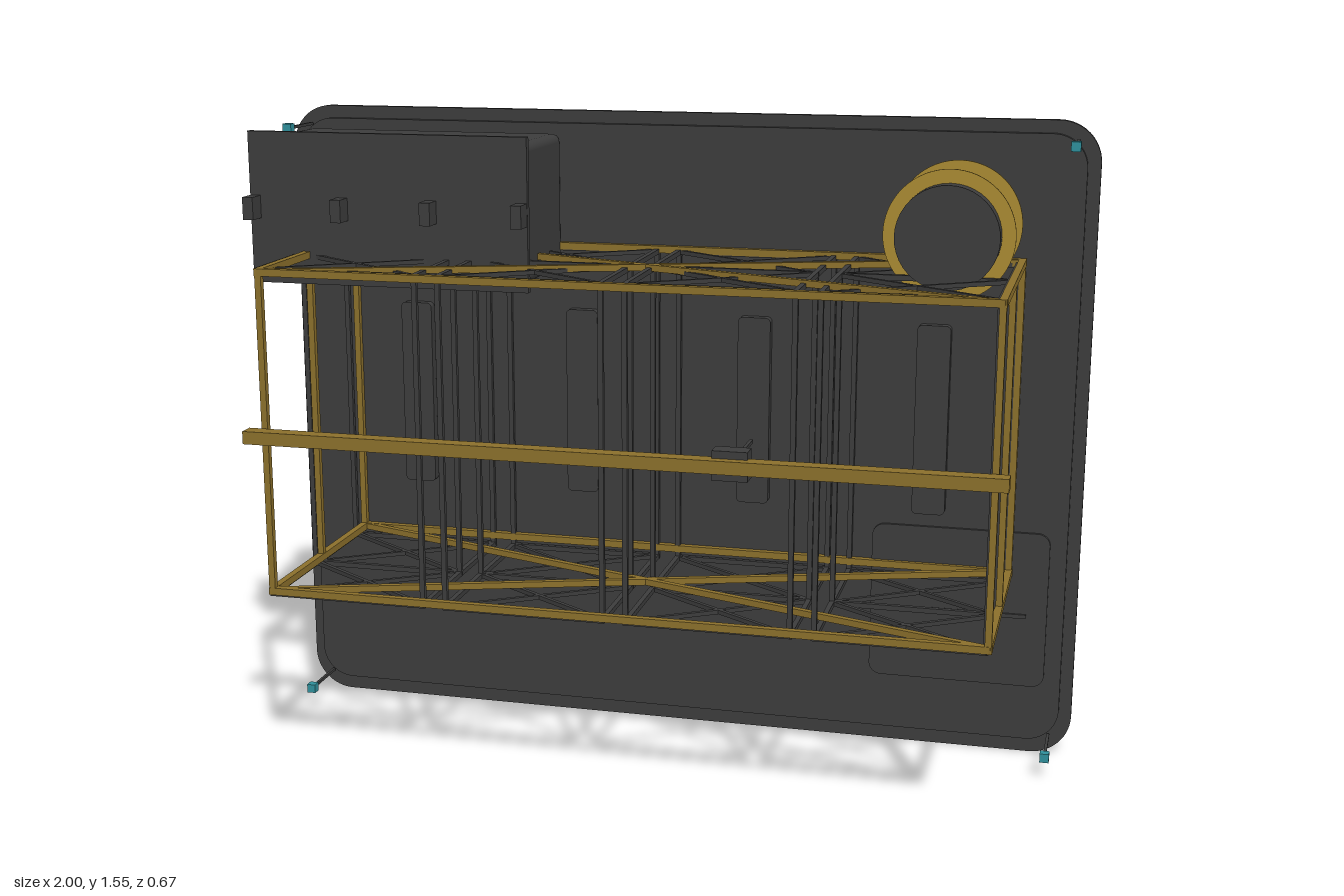
import * as THREE from 'three';
import { RoundedBoxGeometry } from 'three/addons/geometries/RoundedBoxGeometry.js';

export function createModel() {
  const root = new THREE.Group();
  root.name = 'wallMachine';
  const mat = (name, color) => {
    const m = new THREE.MeshStandardMaterial({ color });
    m.name = name;
    return m;
  };
  const charcoal = mat('charcoal', 0x3c3c3c);
  const brass = mat('brass', 0x8a6f2b);
  const gold = mat('gold', 0xa98a32);
  const teal = mat('teal', 0x2f8f9a);

  const add = (name, geo, material, x = 0, y = 0, z = 0, parent = root) => {
    const mesh = new THREE.Mesh(geo, material);
    mesh.name = name;
    mesh.position.set(x, y, z);
    parent.add(mesh);
    return mesh;
  };
  // Box given by its limits on each axis
  const block = (name, material, x0, x1, y0, y1, z0, z1, parent) =>
    add(name, new THREE.BoxGeometry(x1 - x0, y1 - y0, z1 - z0), material,
      (x0 + x1) / 2, (y0 + y1) / 2, (z0 + z1) / 2, parent);
  // Square bar between two points
  const bar = (name, material, a, b, t, parent) => {
    const p = new THREE.Vector3(...a), q = new THREE.Vector3(...b);
    const mesh = add(name, new THREE.BoxGeometry(t, t, p.distanceTo(q) + t), material, 0, 0, 0, parent);
    mesh.position.copy(p).add(q).multiplyScalar(0.5);
    mesh.lookAt(q);
    return mesh;
  };
  // Rounded plate facing +z
  const plate = (name, x0, x1, y0, y1, z0, z1, r) => {
    const s = new THREE.Shape();
    s.moveTo(x0 + r, y0);
    s.lineTo(x1 - r, y0); s.absarc(x1 - r, y0 + r, r, -Math.PI / 2, 0);
    s.lineTo(x1, y1 - r); s.absarc(x1 - r, y1 - r, r, 0, Math.PI / 2);
    s.lineTo(x0 + r, y1); s.absarc(x0 + r, y1 - r, r, Math.PI / 2, Math.PI);
    s.lineTo(x0, y0 + r); s.absarc(x0 + r, y0 + r, r, Math.PI, Math.PI * 1.5);
    const geo = new THREE.ExtrudeGeometry(s, { depth: z1 - z0, bevelEnabled: false, curveSegments: 10 });
    return add(name, geo, charcoal, 0, 0, z0);
  };

  // Back panel in two steps, with a low access cover
  plate('backPanel', -1, 1, 0, 1.555, -0.335, -0.315, 0.1);
  plate('innerPanel', -0.97, 0.97, 0.04, 1.525, -0.316, -0.296, 0.08);
  plate('accessCover', 0.5, 0.93, 0.18, 0.57, -0.297, -0.288, 0.03);
  block('coverHandle', charcoal, 0.64, 0.88, 0.355, 0.365, -0.289, -0.282);

  // Corner pins
  for (const x of [-0.947, 0.947]) for (const y of [0.052, 1.51]) {
    const pin = new THREE.Group();
    pin.name = 'cornerPin';
    root.add(pin);
    bar('pinRod', charcoal, [x, y, -0.3], [x, y, -0.17], 0.007, pin);
    block('pinTip', teal, x - 0.011, x + 0.011, y - 0.011, y + 0.011, -0.172, -0.15, pin);
  }

  // Control box with front flange and knobs
  add('controlBox', new RoundedBoxGeometry(0.66, 0.33, 0.295, 3, 0.02), charcoal, -0.62, 1.335, -0.15);
  block('boxFoot', charcoal, -0.88, -0.36, 1.16, 1.175, -0.265, -0.1);
  block('boxFlange', charcoal, -0.973, -0.28, 1.157, 1.518, 0, 0.016);
  for (let i = 0; i < 4; i++) {
    const x = -0.96 + i * 0.222;
    block('knob', charcoal, x - 0.013, x + 0.013, 1.312, 1.366, 0.015, 0.062);
  }

  // Drum with two flat rings
  const drum = add('drum', new THREE.CylinderGeometry(0.117, 0.117, 0.305, 40), charcoal, 0.685, 1.318, -0.1425);
  drum.rotation.x = Math.PI / 2;
  const ringShape = new THREE.Shape().absarc(0, 0, 0.148, 0, Math.PI * 2);
  ringShape.holes.push(new THREE.Path().absarc(0, 0, 0.115, 0, Math.PI * 2, true));
  for (const z of [-0.24, -0.04]) {
    const geo = new THREE.ExtrudeGeometry(ringShape, { depth: 0.006, bevelEnabled: false, curveSegments: 32 });
    add('drumRing', geo, gold, 0.685, 1.318, z);
  }

  // Outer brass frame: rails, posts and crossed braces
  const frame = new THREE.Group();
  frame.name = 'outerFrame';
  root.add(frame);
  const X = 0.834, Z = 0.285;
  for (const y of [0.47, 1.227]) {
    for (const z of [-Z, Z]) bar('longRail', brass, [-X, y, z], [X, y, z], 0.017, frame);
    for (const s of [-1, 1]) {
      bar('sideRail', brass, [s * X, y, -Z], [s * X, y, Z], 0.017, frame);
      bar('brace', brass, [-X, y, -s * Z], [X, y, s * Z], 0.015, frame);
    }
  }
  for (const x of [-X, X]) for (const z of [-Z, 0, Z])
    bar('post', brass, [x, 0.47, z], [x, 1.227, z], 0.015, frame);

  // Four dark inner racks, each with two braced bays and a back slot plate
  for (let i = 0; i < 4; i++) {
    const rack = new THREE.Group();
    rack.name = 'rack';
    root.add(rack);
    const c = -0.67 + i * 0.435, x0 = c - 0.19, x1 = c + 0.19;
    const depths = [-0.285, -0.024, 0.232];
    for (const y of [0.445, 1.222]) {
      for (const z of depths) bar('crossRail', charcoal, [x0, y, z], [x1, y, z], 0.012, rack);
      for (const x of [x0, x1]) bar('depthRail', charcoal, [x, y, depths[0]], [x, y, depths[2]], 0.012, rack);
      for (let k = 0; k < 2; k++) {
        bar('rackBrace', charcoal, [x0, y, depths[k]], [x1, y, depths[k + 1]], 0.01, rack);
        bar('rackBrace', charcoal, [x1, y, depths[k]], [x0, y, depths[k + 1]], 0.01, rack);
      }
    }
    for (const x of [x0, x1]) for (const z of depths)
      bar('rackPost', charcoal, [x, 0.445, z], [x, 1.222, z], 0.012, rack);
    plate('slotPlate', c - 0.04, c + 0.04, 0.605, 1.07, -0.297, -0.273, 0.012);
  }

  // Front beam with slider and probe
  block('frontBeam', brass, -0.87, 0.866, 0.835, 0.865, 0.297, 0.335);
  block('slider', charcoal, 0.225, 0.305, 0.815, 0.882, 0.268, 0.312);
  bar('probe', charcoal, [0.265, 0.848, 0.075], [0.265, 0.848, 0.27], 0.008);
  return root;
}
